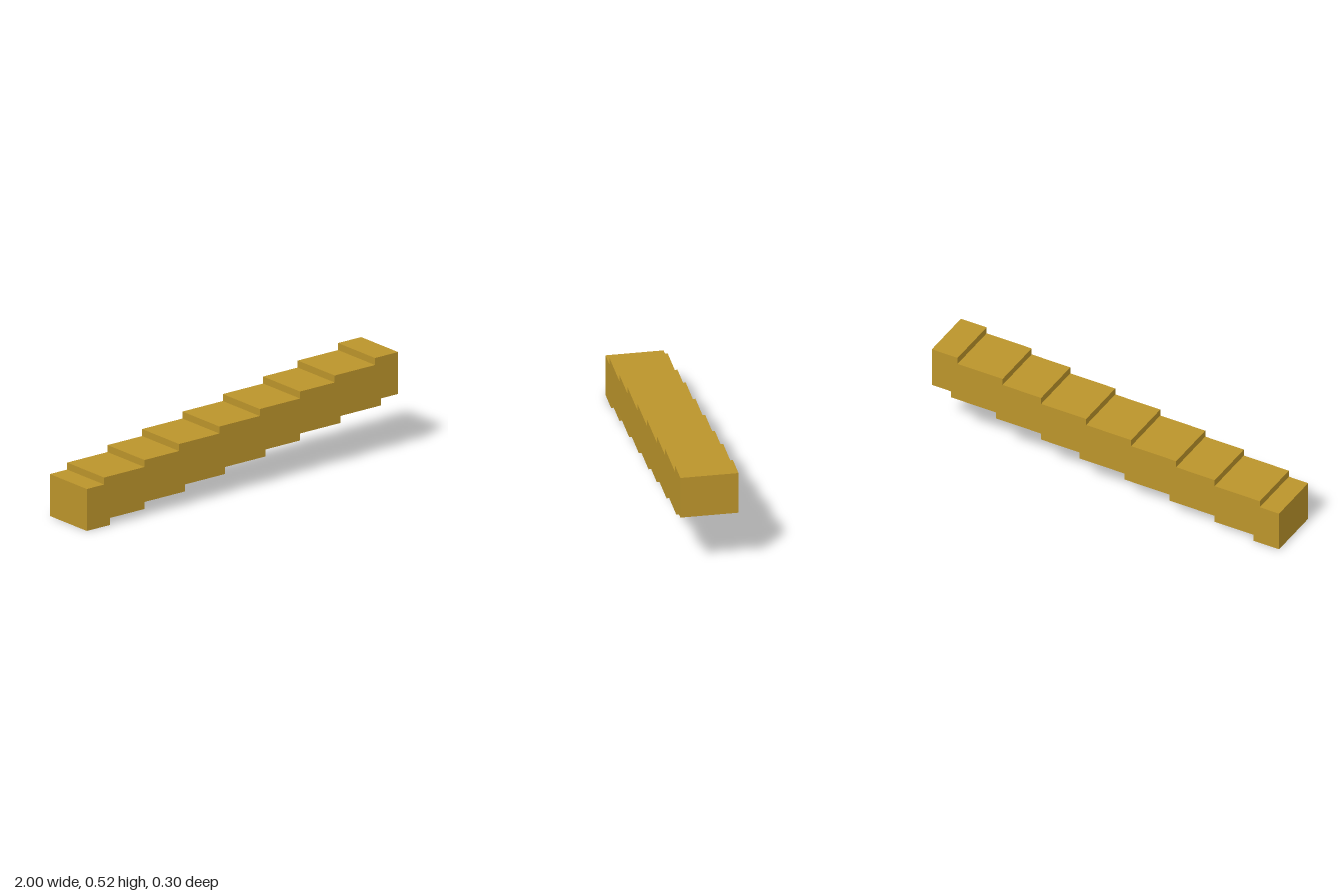
import * as THREE from 'three';

// The bar sits on a grid of 54 x 14 x 8 cells
const CELL = 2 / 54;
const LENGTH = 54, DEPTH = 8, THICKNESS = 6;
const TOP_STEPS = [3, 10, 16, 23, 30, 37, 43, 50];
const BOTTOM_STEPS = [4, 10, 17, 24, 31, 37, 44, 51];

// Stair line rising one cell at each step, from x = 0 to the far end
function stairLine(steps, base) {
  const points = [[0, base]];
  steps.forEach((x, i) => points.push([x, base + i], [x, base + i + 1]));
  points.push([LENGTH, base + steps.length]);
  return points;
}

export function createModel() {
  const group = new THREE.Group();
  group.name = 'steppedBar';

  const gold = new THREE.MeshStandardMaterial({ color: 0xbb942b });
  gold.name = 'gold';

  // Side outline: lower stairs forward, upper stairs back
  const outline = [
    ...stairLine(BOTTOM_STEPS, 0),
    ...stairLine(TOP_STEPS, THICKNESS).reverse(),
  ].map(([x, y]) => new THREE.Vector2((x - LENGTH / 2) * CELL, y * CELL));

  const geometry = new THREE.ExtrudeGeometry(new THREE.Shape(outline), {
    depth: DEPTH * CELL,
    bevelEnabled: false,
  });
  geometry.translate(0, 0, (-DEPTH * CELL) / 2);

  const bar = new THREE.Mesh(geometry, gold);
  bar.name = 'steppedBeam';
  group.add(bar);
  return group;
}
